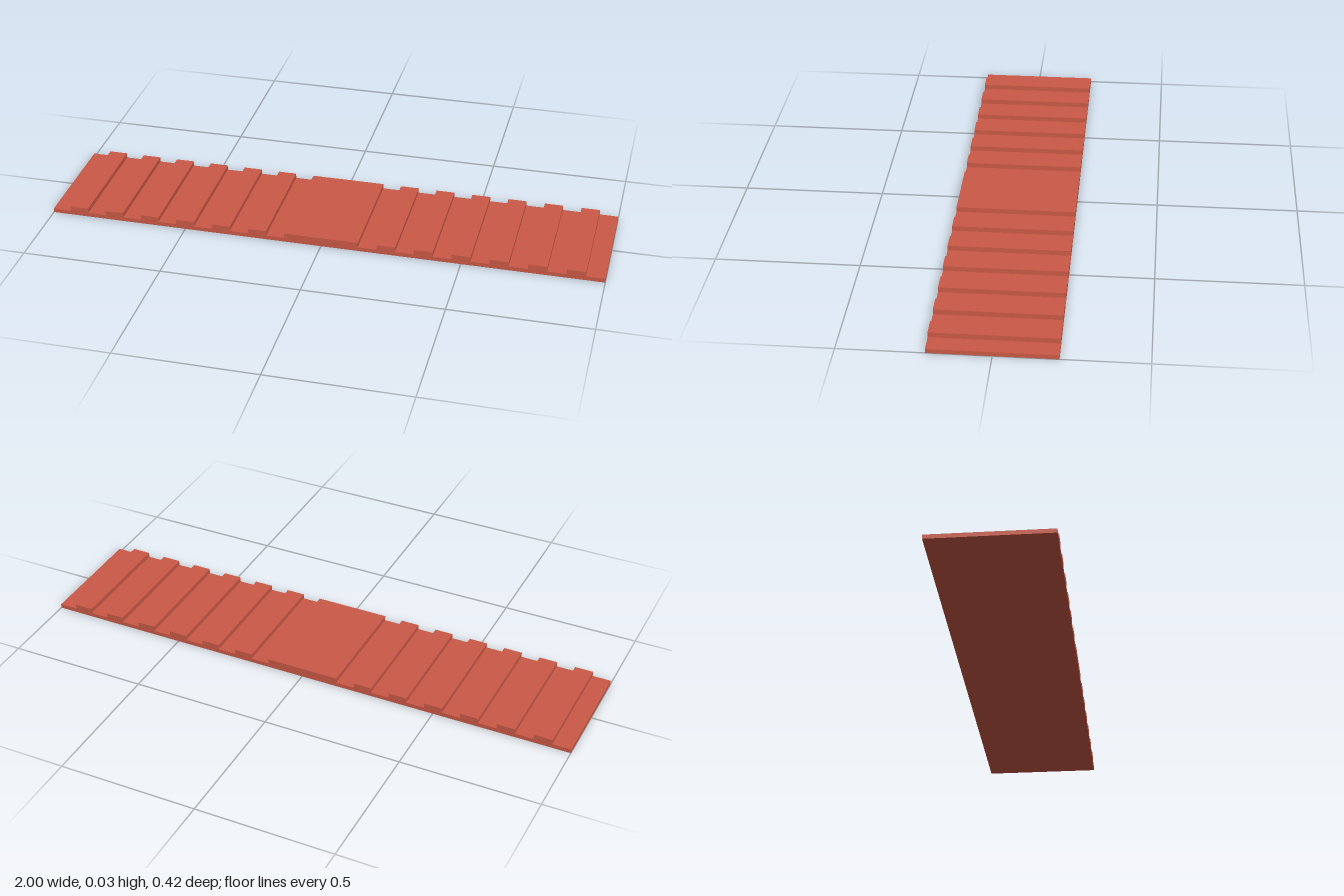
import * as THREE from 'three';

const DEPTH = 0.424;
const BASE_H = 0.015;
const RIB_H = 0.018;
const STEP = 2 / 15; // rib spacing, each rib is half a step wide

export function createModel() {
  const group = new THREE.Group();
  group.name = 'ribbedPlate';
  const material = new THREE.MeshStandardMaterial({ color: 0xcc5a47 });

  const addBox = (name, width, height, x, bottom) => {
    const mesh = new THREE.Mesh(new THREE.BoxGeometry(width, height, DEPTH), material);
    mesh.name = name;
    mesh.position.set(x, bottom + height / 2, 0);
    group.add(mesh);
  };

  // Thin base plate and wide raised pad in the middle
  addBox('basePlate', 2, BASE_H, 0, 0);
  addBox('centrePad', 2 * STEP, RIB_H, 0, BASE_H);

  // Six cross ribs on each side, mirrored
  for (const side of [-1, 1]) {
    for (let i = 0; i < 6; i++) {
      addBox(side > 0 ? 'leftRib' : 'rightRib', STEP / 2, RIB_H, side * (1.75 + i) * STEP, BASE_H);
    }
  }
  return group;
}
